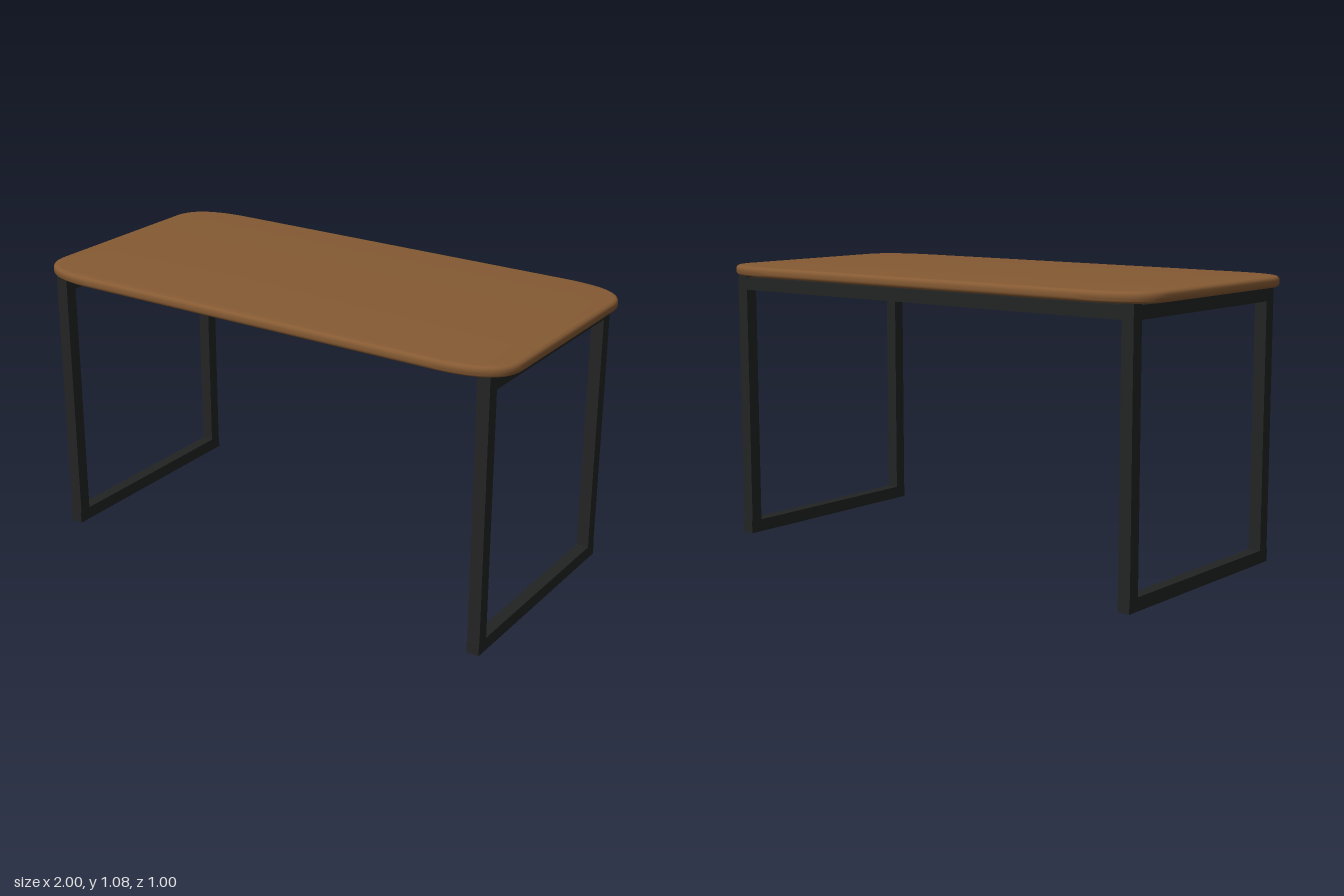
import * as THREE from 'three';
import { toCreasedNormals } from 'three/addons/utils/BufferGeometryUtils.js';

const wood = new THREE.MeshStandardMaterial({ name: 'brown wood', color: 0x855a33 });
const metal = new THREE.MeshStandardMaterial({ name: 'black metal', color: 0x222423 });

const TUBE = 0.048;
const LEG_X = 0.913, LEG_Z = 0.429;
const TOP_Y = 1.035, TOP_H = 0.04;

function bar(name, w, h, d, x, y, z) {
  const mesh = new THREE.Mesh(new THREE.BoxGeometry(w, h, d), metal);
  mesh.name = name;
  mesh.position.set(x, y, z);
  return mesh;
}

// Slab with long, soft corners and a rounded edge
function tabletop() {
  const bevel = 0.015;
  const a = 1 - bevel, b = 0.5 - bevel;   // half sizes before the bevel
  const p = a - 0.25, q = b - 0.14;       // where the corner curves begin
  const shape = new THREE.Shape();
  shape.moveTo(-p, -b);
  shape.lineTo(p, -b);
  shape.quadraticCurveTo(a, -b, a, -q);
  shape.lineTo(a, q);
  shape.quadraticCurveTo(a, b, p, b);
  shape.lineTo(-p, b);
  shape.quadraticCurveTo(-a, b, -a, q);
  shape.lineTo(-a, -q);
  shape.quadraticCurveTo(-a, -b, -p, -b);
  const geo = new THREE.ExtrudeGeometry(shape, {
    depth: TOP_H - 2 * bevel, bevelThickness: bevel, bevelSize: bevel,
    bevelSegments: 4, curveSegments: 14,
  });
  geo.rotateX(-Math.PI / 2);
  geo.translate(0, TOP_Y + bevel, 0);
  const mesh = new THREE.Mesh(toCreasedNormals(geo, 0.6), wood);
  mesh.name = 'tabletop';
  return mesh;
}

// Rectangular end frame: two legs, a floor rail and a top rail
function endFrame(side) {
  const frame = new THREE.Group();
  frame.name = side > 0 ? 'leftFrame' : 'rightFrame';
  const x = side * LEG_X;
  for (const s of [1, -1]) {
    frame.add(bar(s > 0 ? 'frontLeg' : 'backLeg', TUBE, TOP_Y - 0.048, TUBE,
      x, (TOP_Y + 0.048) / 2, s * LEG_Z));
  }
  frame.add(bar('floorRail', TUBE, 0.049, 0.912, x, 0.0245, 0));
  frame.add(bar('topRail', TUBE, TUBE, 2 * LEG_Z - TUBE, x, 1.004, 0));
  return frame;
}

export function createModel() {
  const table = new THREE.Group();
  table.name = 'table';
  table.add(tabletop(), endFrame(1), endFrame(-1));
  // Single long rail joining the back legs
  table.add(bar('backRail', 2 * LEG_X - TUBE, TUBE, TUBE, 0, 1.004, -LEG_Z));
  return table;
}
